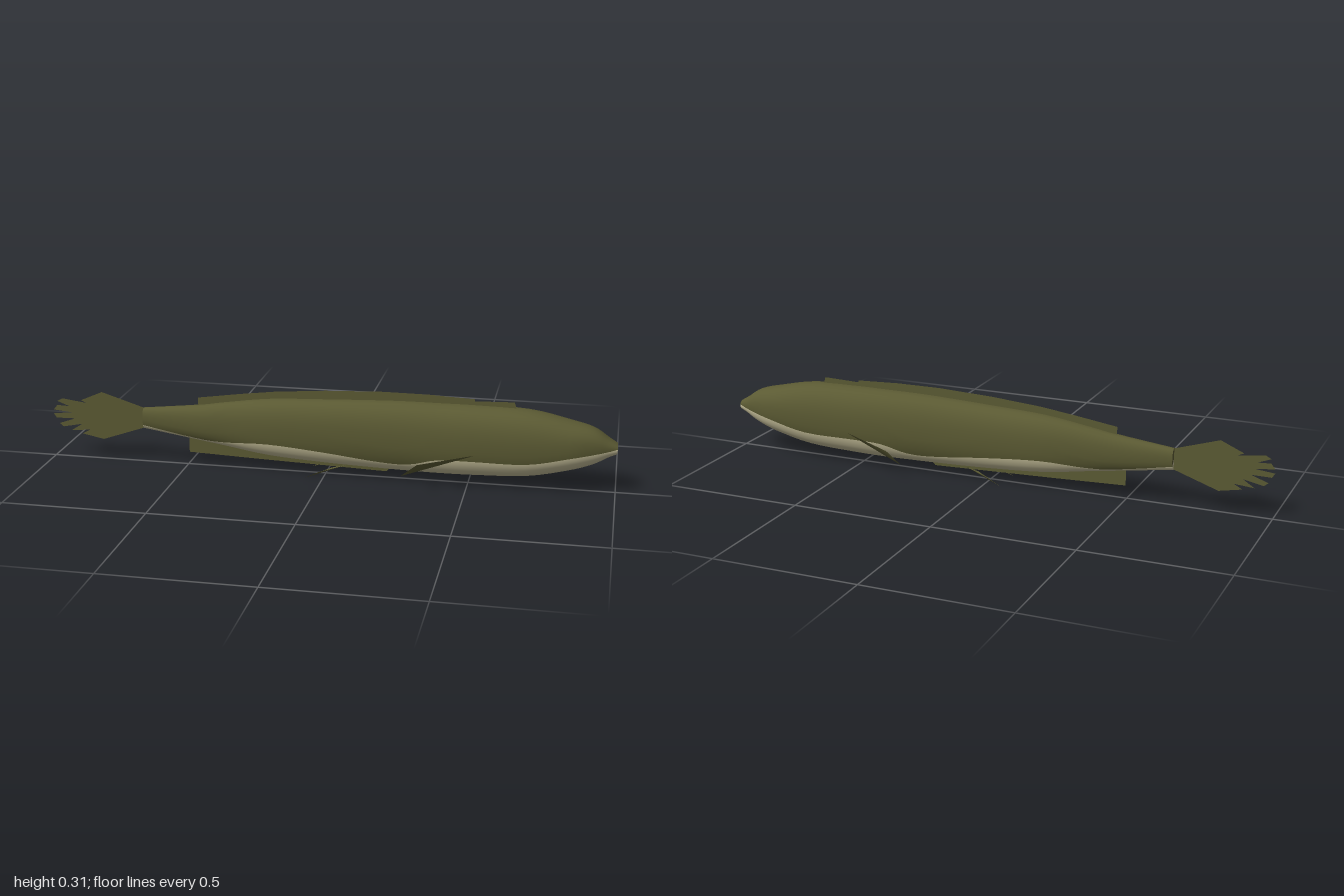
import * as THREE from 'three';

const olive = new THREE.MeshStandardMaterial({ color: 0x5b5a33, side: THREE.DoubleSide });
olive.name = 'olive skin';
const cream = new THREE.MeshStandardMaterial({ color: 0xc4bd98, side: THREE.DoubleSide });
cream.name = 'cream belly';

// Body stations: x, bottom y, top y, half width, height of the belly colour line
const STATIONS = [
  [-0.66, 0.125, 0.200, 0.020, 0.140],
  [-0.46, 0.095, 0.222, 0.036, 0.105],
  [-0.36, 0.080, 0.238, 0.044, 0.100],
  [-0.20, 0.056, 0.260, 0.060, 0.110],
  [0.00, 0.043, 0.270, 0.066, 0.095],
  [0.20, 0.036, 0.278, 0.070, 0.072],
  [0.30, 0.034, 0.280, 0.073, 0.072],
  [0.40, 0.033, 0.280, 0.077, 0.098],
  [0.52, 0.035, 0.280, 0.081, 0.102],
  [0.70, 0.044, 0.274, 0.082, 0.104],
  [0.84, 0.074, 0.246, 0.074, 0.132],
  [0.92, 0.100, 0.225, 0.056, 0.146],
  [0.97, 0.127, 0.193, 0.039, 0.155],
  [1.00, 0.140, 0.175, 0.027, 0.162],
];
const SIDE = 16; // segments in each of the back and belly arcs
const POWER = 0.85; // boxiness of the cross-section

// Smoothly interpolated station at t in 0..1
function station(t) {
  const f = t * (STATIONS.length - 1);
  const i = Math.min(Math.floor(f), STATIONS.length - 2), u = f - i;
  const at = (k) => STATIONS[Math.max(0, Math.min(STATIONS.length - 1, k))];
  return STATIONS[0].map((_, c) => {
    const [p0, p1, p2, p3] = [at(i - 1)[c], at(i)[c], at(i + 1)[c], at(i + 2)[c]];
    const m1 = (p2 - p0) / 2, m2 = (p3 - p1) / 2;
    return p1 + m1 * u + (3 * (p2 - p1) - 2 * m1 - m2) * u * u + (2 * (p1 - p2) + m1 + m2) * u ** 3;
  });
}

// One rounded ring: the back arc first, then the belly arc
function ring([x, y0, y1, w, line], scale = 1) {
  const yc = (y0 + y1) / 2, h = (y1 - y0) / 2;
  const s = THREE.MathUtils.clamp((line - yc) / h, -0.98, 0.98);
  const a = Math.asin(Math.sign(s) * Math.abs(s) ** (1 / POWER));
  const bend = (v) => Math.sign(v) * Math.abs(v) ** POWER;
  const pts = [];
  for (let k = 0; k <= 2 * SIDE; k++) {
    const q = k <= SIDE
      ? a + (Math.PI - 2 * a) * k / SIDE
      : Math.PI - a + (Math.PI + 2 * a) * (k - SIDE) / SIDE;
    pts.push([x, yc + scale * h * bend(Math.sin(q)), scale * w * bend(Math.cos(q))]);
  }
  pts.pop(); // the ring closes on its first point
  return pts;
}

// Skin a row of rings; group 0 is the back and group 1 the belly
function skin(rings) {
  const n = 2 * SIDE, index = [];
  let backCount = 0;
  for (const half of [0, 1]) {
    for (let r = 0; r < rings.length - 1; r++) {
      for (let k = half * SIDE; k < (half + 1) * SIDE; k++) {
        const a = r * n + k, b = r * n + (k + 1) % n;
        index.push(a, a + n, b, b, a + n, b + n);
      }
    }
    if (half === 0) backCount = index.length;
  }
  const g = new THREE.BufferGeometry();
  g.setAttribute('position', new THREE.Float32BufferAttribute(rings.flat(2), 3));
  g.setIndex(index);
  g.addGroup(0, backCount, 0);
  g.addGroup(backCount, index.length - backCount, 1);
  g.computeVertexNormals();
  return g;
}

// Flat fin in the middle plane
function flatFin(name, points) {
  const shape = new THREE.Shape(points.map(([x, y]) => new THREE.Vector2(x, y)));
  const mesh = new THREE.Mesh(new THREE.ShapeGeometry(shape), olive);
  mesh.name = name;
  return mesh;
}

// Four-cornered fin on one side of the body
function sideFin(name, corners, side) {
  const g = new THREE.BufferGeometry();
  const pos = corners.flatMap(([x, y, z]) => [x, y, z * side]);
  g.setAttribute('position', new THREE.Float32BufferAttribute(pos, 3));
  g.setIndex(side > 0 ? [0, 1, 2, 0, 2, 3] : [0, 2, 1, 0, 3, 2]);
  g.computeVertexNormals();
  const mesh = new THREE.Mesh(g, olive);
  mesh.name = name;
  return mesh;
}

export function createModel() {
  const fish = new THREE.Group();
  fish.name = 'fish';

  // Body
  const rings = [];
  const steps = (STATIONS.length - 1) * 4;
  for (let i = 0; i <= steps; i++) rings.push(ring(station(i / steps)));
  const body = new THREE.Mesh(skin(rings), [olive, cream]);
  body.name = 'body';
  fish.add(body);

  // Hollow mouth and closed tail stump
  const nose = STATIONS[STATIONS.length - 1], stump = STATIONS[0];
  const inner = [0.975, ...nose.slice(1)];
  const mouth = new THREE.Mesh(skin([ring(inner, 0), ring(inner, 0.7), ring(nose)].reverse()), [cream, cream]);
  mouth.name = 'mouth';
  const end = new THREE.Mesh(skin([ring(stump, 0), ring(stump)]), [olive, cream]);
  end.name = 'tailStump';
  fish.add(mouth, end);

  // Fins along the middle
  fish.add(flatFin('dorsalFin', [
    [-0.46, 0.20], [-0.46, 0.249], [-0.30, 0.272], [-0.18, 0.287], [0, 0.301], [0.20, 0.309],
    [0.36, 0.308], [0.515, 0.301], [0.515, 0.25],
  ]));
  fish.add(flatFin('frontDorsalFin', [[0.515, 0.25], [0.515, 0.294], [0.65, 0.298], [0.665, 0.25]]));
  fish.add(flatFin('analFin', [
    [-0.495, 0.12], [-0.495, 0.045], [-0.25, 0.036], [0, 0.028], [0.215, 0.021], [0.25, 0.06],
  ]));
  fish.add(flatFin('tailFin', [
    [-0.655, 0.198], [-0.815, 0.248], [-0.895, 0.213], [-0.875, 0.204], [-0.965, 0.216], [-0.985, 0.205],
    [-0.94, 0.188], [-0.985, 0.190], [-1, 0.172], [-0.93, 0.165], [-1, 0.158], [-0.99, 0.142],
    [-0.92, 0.143], [-0.98, 0.122], [-0.965, 0.110], [-0.895, 0.124], [-0.935, 0.098],
    [-0.865, 0.104], [-0.895, 0.088], [-0.815, 0.072], [-0.655, 0.127],
  ]));

  // Paired fins
  for (const [side, label] of [[1, 'right'], [-1, 'left']]) {
    fish.add(sideFin(label + 'PectoralFin', [
      [0.53, 0.126, 0.076], [0.34, 0.100, 0.138], [0.285, 0.057, 0.138], [0.46, 0.104, 0.074],
    ], side));
    fish.add(sideFin(label + 'PelvicFin', [
      [0.08, 0.048, 0.040], [-0.015, 0.022, 0.058], [-0.06, 0.0, 0.059], [0.03, 0.037, 0.042],
    ], side));
  }
  return fish;
}
